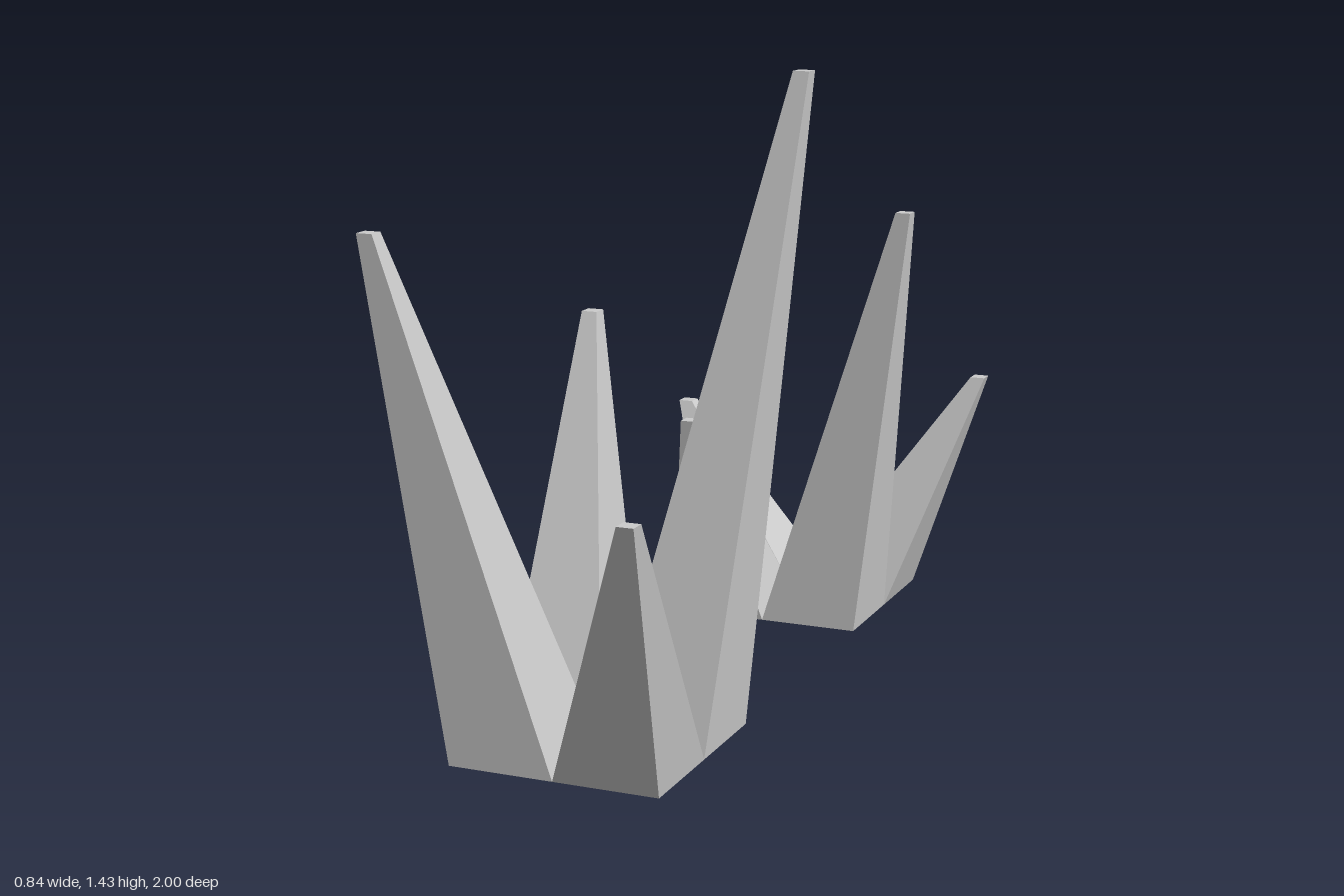
import * as THREE from 'three';

const BASE = 0.24; // width of a spike at the ground
const TIP = 0.036; // width of its cut-off tip

const material = new THREE.MeshStandardMaterial({ color: 0xcccccc, flatShading: true });

// Square spike tapering from a ground quadrant to a small flat tip
function spike(baseX, baseZ, tipX, tipY, tipZ) {
  const geometry = new THREE.BoxGeometry(1, 1, 1);
  const p = geometry.attributes.position;
  for (let i = 0; i < p.count; i++) {
    const top = p.getY(i) > 0;
    const width = top ? TIP : BASE;
    p.setXYZ(
      i,
      (top ? tipX : baseX) + p.getX(i) * width,
      top ? tipY : 0,
      (top ? tipZ : baseZ) + p.getZ(i) * width
    );
  }
  geometry.computeVertexNormals();
  return new THREE.Mesh(geometry, material);
}

// Four spikes sharing one square footprint, each leaning its own way
function cluster(name, cx, cz, tips) {
  const group = new THREE.Group();
  group.name = name;
  for (const [part, sx, sz, x, y, z] of tips) {
    const mesh = spike(cx + sx * BASE / 2, cz + sz * BASE / 2, x, y, z);
    mesh.name = part;
    group.add(mesh);
  }
  return group;
}

export function createModel() {
  const model = new THREE.Group();
  model.name = 'spikeClusters';

  // Each row: name, quadrant signs (x, z), tip centre (x, y, z)
  model.add(cluster('frontCluster', -0.02, 0.442, [
    ['backRightSpike', -1, -1, -0.207, 0.87, 0.064],
    ['backLeftSpike', 1, -1, 0.327, 1.43, 0.162],
    ['frontRightSpike', -1, 1, -0.394, 1.127, 0.726],
    ['frontLeftSpike', 1, 1, 0.29, 0.655, 0.982],
  ]));
  model.add(cluster('backCluster', -0.02, -0.76, [
    ['backRightSpike', -1, -1, -0.402, 0.442, -0.957],
    ['backLeftSpike', 1, -1, 0.402, 0.571, -0.949],
    ['frontRightSpike', -1, 1, -0.199, 0.503, -0.485],
    ['frontLeftSpike', 1, 1, 0.327, 1.04, -0.542],
  ]));
  return model;
}
